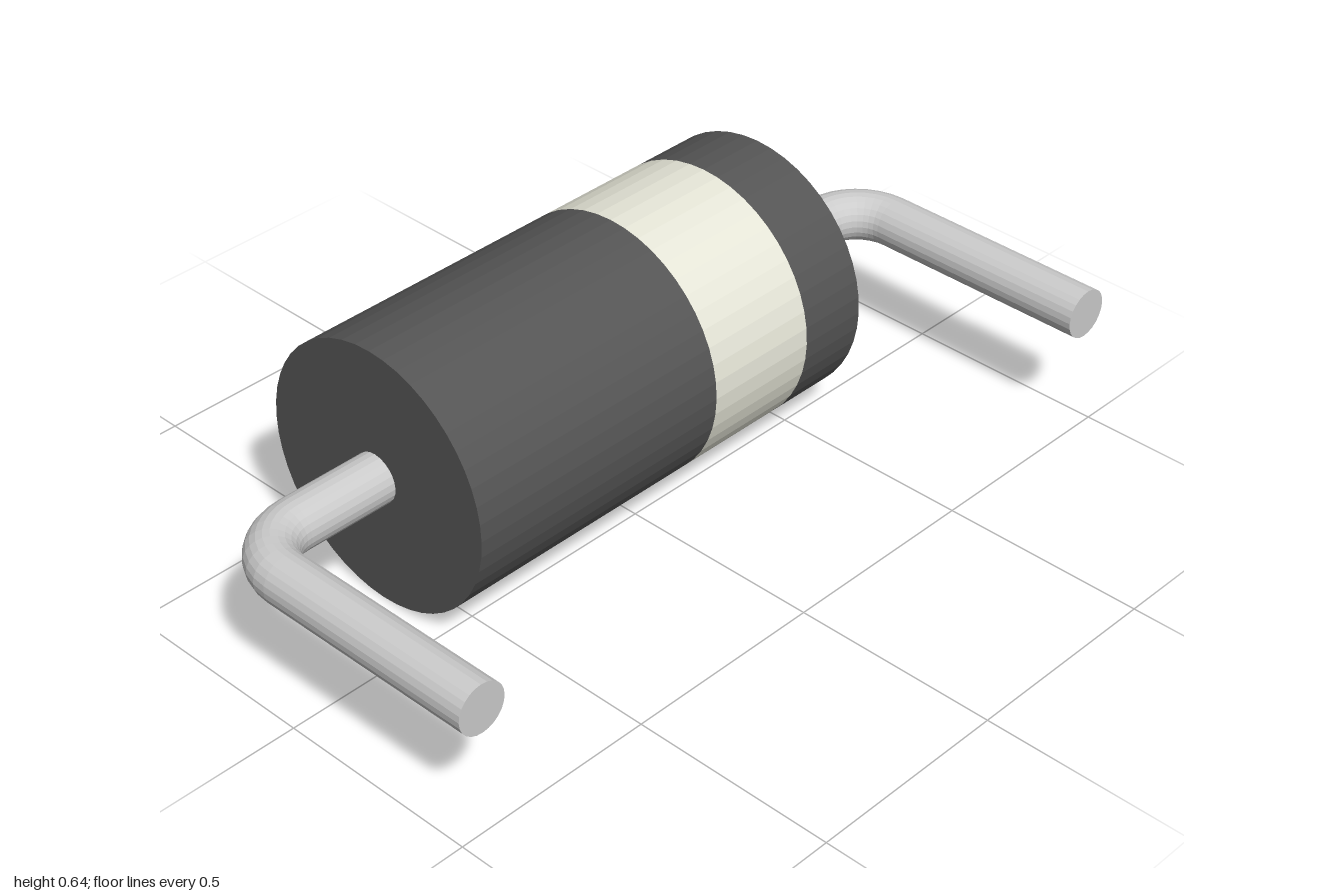
import * as THREE from 'three';

const AXIS_Y = 0.322, AXIS_Z = -0.185; // centre line of the body
const BODY_R = 0.319, BODY_HALF = 0.587;
const WIRE_R = 0.06, BEND_R = 0.125, LEG_X = 0.94, LEG_END = 0.505;

const material = (color) => new THREE.MeshStandardMaterial({ color, flatShading: true });

function addMesh(parent, name, geometry, mat) {
  const mesh = new THREE.Mesh(geometry, mat);
  mesh.name = name;
  parent.add(mesh);
  return mesh;
}

// Cylinder along x from x0 to x1
function rod(radius, x0, x1, sides) {
  return new THREE.CylinderGeometry(radius, radius, x1 - x0, sides)
    .rotateZ(-Math.PI / 2)
    .translate((x0 + x1) / 2, 0, 0);
}

// Bent wire leaving the +x end and turning towards the front
function createLead(name, mat) {
  const lead = new THREE.Group();
  lead.name = name;
  const bendX = LEG_X - BEND_R;
  const legLength = LEG_END - AXIS_Z - BEND_R;

  addMesh(lead, 'leadRoot', rod(WIRE_R, BODY_HALF - 0.02, bendX, 24), mat);

  const bend = new THREE.TorusGeometry(BEND_R, WIRE_R, 24, 8, Math.PI / 2)
    .rotateX(-Math.PI / 2)
    .translate(bendX, 0, BEND_R);
  addMesh(lead, 'leadBend', bend, mat);

  const leg = new THREE.CylinderGeometry(WIRE_R, WIRE_R, legLength, 24)
    .rotateX(Math.PI / 2)
    .translate(LEG_X, 0, BEND_R + legLength / 2);
  addMesh(lead, 'leadLeg', leg, mat);
  return lead;
}

export function createModel() {
  const model = new THREE.Group();
  model.name = 'axialComponent';
  const dark = material(0x555555);
  const pale = material(0xe6e6d8);
  const metal = material(0xcccccc);

  const parts = new THREE.Group();
  parts.name = 'bodyAndLeads';
  parts.position.set(0, AXIS_Y, AXIS_Z);
  model.add(parts);

  // Body in three flush sections, the middle one being the marking band
  addMesh(parts, 'bodyMain', rod(BODY_R, -BODY_HALF, 0.115, 48), dark);
  addMesh(parts, 'markingBand', rod(BODY_R, 0.115, 0.41, 48), pale);
  addMesh(parts, 'bodyEnd', rod(BODY_R, 0.41, BODY_HALF, 48), dark);

  // Half a turn about z mirrors the lead to the other end
  const leftLead = createLead('leftLead', metal);
  const rightLead = createLead('rightLead', metal);
  rightLead.rotation.z = Math.PI;
  parts.add(leftLead, rightLead);

  return model;
}
